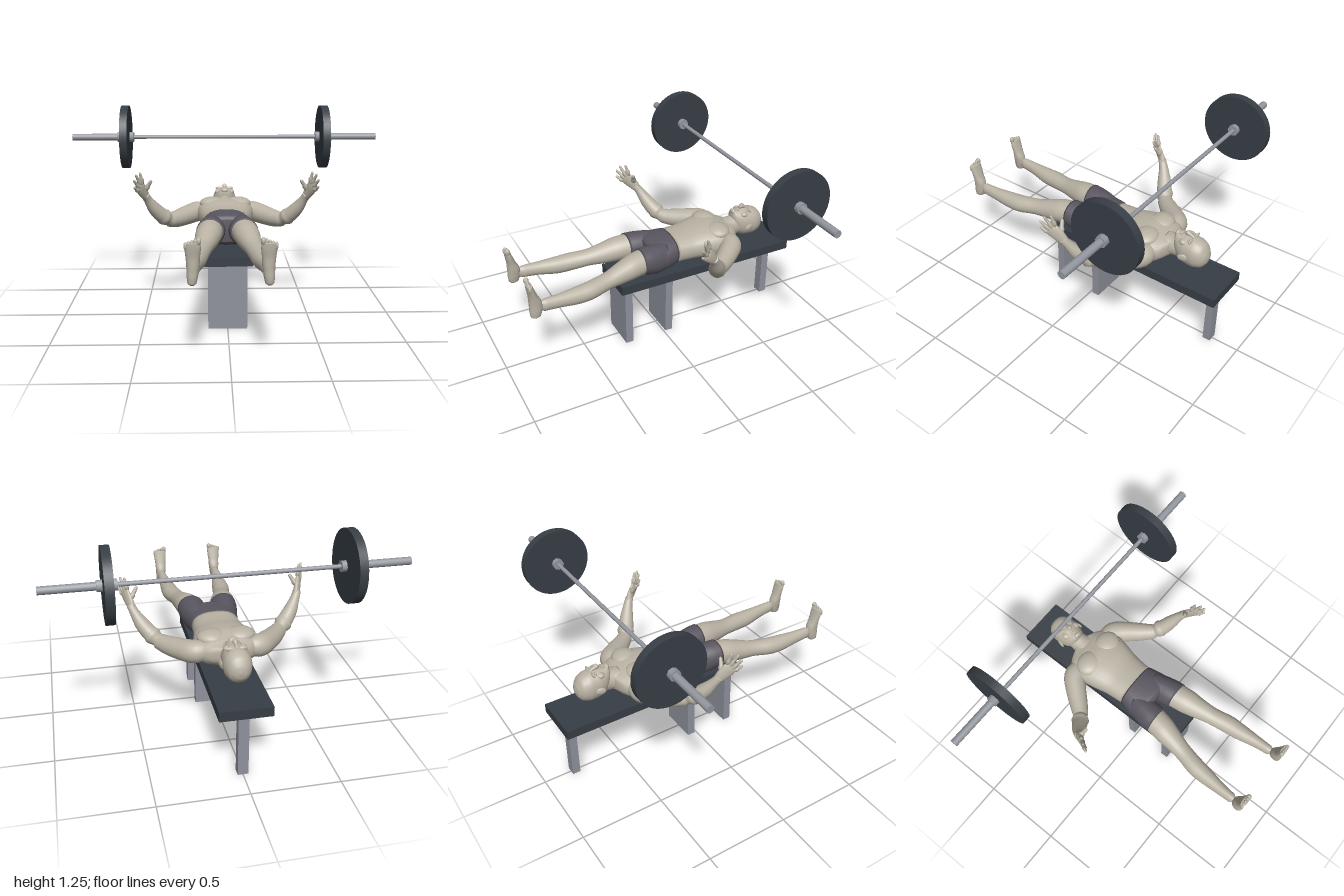
import * as THREE from 'three';

const mat = (name, color, extra = {}) => Object.assign(new THREE.MeshStandardMaterial({ color, ...extra }), { name });
const V = (x, y, z) => new THREE.Vector3(x, y, z);

// Smooth closed skin through elliptical sections [x, y, z, radiusA, radiusB].
// axis fixes the section plane; otherwise sections follow the path.
function loft(sections, { ref = V(0, 1, 0), axis = null, n = 2, sides = 24, sub = 5 } = {}) {
  const path = new THREE.CatmullRomCurve3(sections.map(s => V(s[0], s[1], s[2])));
  const radii = new THREE.CatmullRomCurve3(sections.map(s => V(s[3], s[4], 0)));
  const rows = (sections.length - 1) * sub;
  const pos = [], idx = [];
  const bend = v => Math.sign(v) * Math.pow(Math.abs(v), 2 / n);
  for (let i = 0; i <= rows; i++) {
    const c = path.getPoint(i / rows), r = radii.getPoint(i / rows);
    const t = axis || path.getTangent(i / rows);
    const a = ref.clone().cross(t).normalize(), b = t.clone().cross(a).normalize();
    for (let j = 0; j < sides; j++) {
      const w = j / sides * Math.PI * 2;
      const p = c.clone().addScaledVector(a, r.x * bend(Math.cos(w))).addScaledVector(b, r.y * bend(Math.sin(w)));
      pos.push(p.x, p.y, p.z);
      if (i < rows) {
        const k = i * sides, m = (j + 1) % sides;
        idx.push(k + j, k + m, k + sides + j, k + m, k + sides + m, k + sides + j);
      }
    }
  }
  // end caps
  const first = sections[0], last = sections[sections.length - 1], c0 = pos.length / 3;
  pos.push(first[0], first[1], first[2], last[0], last[1], last[2]);
  for (let j = 0; j < sides; j++) {
    const m = (j + 1) % sides, k = rows * sides;
    idx.push(c0, m, j, c0 + 1, k + j, k + m);
  }
  const g = new THREE.BufferGeometry();
  g.setAttribute('position', new THREE.Float32BufferAttribute(pos, 3));
  g.setIndex(idx);
  g.computeVertexNormals();
  return g;
}

// Sections across z, given as [z, centreX, halfWidth, bottomY, topY]
const alongZ = (rows, n = 2) => loft(
  rows.map(([z, x, w, y0, y1]) => [x, (y0 + y1) / 2, z, w, (y1 - y0) / 2]), { axis: V(0, 0, 1), n });

// Sections up y, given as [y, centreX, halfWidth, backZ, frontZ]
const alongY = (rows, n = 2) => loft(
  rows.map(([y, x, w, z0, z1]) => [x, y, (z0 + z1) / 2, w, (z1 - z0) / 2]), { axis: V(0, 1, 0), ref: V(0, 0, 1), n });

export function createModel() {
  const root = new THREE.Group();
  root.name = 'benchPress';
  const skin = mat('skin', 0xbab3a5), shorts = mat('shortsCloth', 0x5a5660);
  const dark = mat('darkRubber', 0x373e45), legGrey = mat('legGrey', 0x8f929c), steel = mat('steel', 0x94979f);

  const add = (name, geo, material, x = 0, y = 0, z = 0) => {
    const m = new THREE.Mesh(geo, material);
    m.name = name;
    m.position.set(x, y, z);
    root.add(m);
    return m;
  };
  const blob = (name, x, y, z, rx, ry, rz) => {
    const m = add(name, new THREE.SphereGeometry(1, 20, 14), skin, x, y, z);
    m.scale.set(rx, ry, rz);
    return m;
  };
  const box = (name, w, h, d, material, y, z) => add(name, new THREE.BoxGeometry(w, h, d), material, 0, y, z);
  const rod = (name, r, x0, x1, material, sides, y = 1.045, z = -0.52) => {
    const g = new THREE.CylinderGeometry(r, r, Math.abs(x1 - x0), sides).rotateZ(Math.PI / 2);
    return add(name, g, material, (x0 + x1) / 2, y, z);
  };

  // Bench
  box('benchPad', 0.294, 0.056, 1.18, dark, 0.417, -0.295);
  box('frontBoardLeg', 0.23, 0.39, 0.048, legGrey, 0.195, 0.238);
  box('middleBoardLeg', 0.23, 0.39, 0.048, legGrey, 0.195, -0.037);
  box('headPostLeg', 0.06, 0.39, 0.048, legGrey, 0.195, -0.807);

  // Barbell
  rod('bar', 0.012, -0.62, 0.62, steel, 16);
  for (const s of [1, -1]) {
    rod('weightPlate', 0.205, s * 0.626, s * 0.674, dark, 48);
    rod('innerCollar', 0.033, s * 0.598, s * 0.63, steel, 8);
    rod('outerCollar', 0.033, s * 0.67, s * 0.705, steel, 8);
    rod('sleeve', 0.022, s * 0.7, s, steel, 16);
  }

  // Torso, neck and head
  add('torso', alongZ([
    [-0.525, 0, 0.06, 0.52, 0.625], [-0.5, 0, 0.125, 0.505, 0.625], [-0.46, 0, 0.172, 0.48, 0.64],
    [-0.38, 0, 0.185, 0.463, 0.66], [-0.3, 0, 0.172, 0.463, 0.655], [-0.2, 0, 0.149, 0.468, 0.64],
    [-0.085, 0, 0.138, 0.468, 0.64]], 2.4), skin);
  add('neck', alongZ([[-0.62, 0, 0.055, 0.52, 0.63], [-0.56, 0, 0.056, 0.515, 0.645],
    [-0.52, 0, 0.062, 0.512, 0.64], [-0.47, 0, 0.09, 0.5, 0.635]]), skin);
  add('head', alongZ([
    [-0.753, 0, 0.006, 0.575, 0.59], [-0.745, 0, 0.036, 0.545, 0.62], [-0.72, 0, 0.064, 0.513, 0.66],
    [-0.67, 0, 0.079, 0.498, 0.682], [-0.62, 0, 0.077, 0.502, 0.687], [-0.58, 0, 0.066, 0.52, 0.686],
    [-0.548, 0, 0.046, 0.56, 0.688], [-0.535, 0, 0.02, 0.61, 0.672]], 2.15), skin);
  add('nose', loft([[0, 0.68, -0.655, 0.008, 0.008], [0, 0.69, -0.63, 0.01, 0.012],
    [0, 0.7, -0.607, 0.015, 0.015], [0, 0.693, -0.594, 0.008, 0.006]], { axis: V(0, 0, 1) }), skin);
  blob('upperLip', 0, 0.686, -0.577, 0.025, 0.008, 0.006);
  blob('lowerLip', 0, 0.685, -0.567, 0.021, 0.008, 0.006);
  blob('chin', 0, 0.678, -0.547, 0.024, 0.016, 0.014);

  // Shorts over the hips
  add('shortsHips', alongZ([
    [-0.09, 0, 0.141, 0.466, 0.645], [-0.04, 0, 0.153, 0.455, 0.644], [0.01, 0, 0.162, 0.449, 0.641],
    [0.05, 0, 0.155, 0.455, 0.637], [0.075, 0, 0.12, 0.48, 0.615]], 2.4), shorts);

  for (const s of [1, -1]) {
    // Chest and face relief
    blob('chestMuscle', s * 0.082, 0.625, -0.385, 0.085, 0.042, 0.075);
    blob('brow', s * 0.034, 0.676, -0.648, 0.026, 0.012, 0.008);
    blob('eye', s * 0.032, 0.675, -0.632, 0.014, 0.01, 0.007);
    blob('cheek', s * 0.042, 0.66, -0.605, 0.024, 0.018, 0.024);
    const ear = blob('ear', s * 0.08, 0.58, -0.628, 0.009, 0.022, 0.032);
    ear.rotation.y = s * 0.25;

    // Leg with shorts sleeve
    add('shortsLeg', alongZ([[-0.03, s * 0.08, 0.07, 0.47, 0.63], [0.05, s * 0.09, 0.082, 0.455, 0.64],
      [0.1, s * 0.096, 0.085, 0.468, 0.642], [0.152, s * 0.101, 0.083, 0.485, 0.642]]), shorts);
    add('leg', alongZ([
      [0.13, s * 0.1, 0.078, 0.486, 0.637], [0.22, s * 0.113, 0.076, 0.48, 0.626], [0.3, s * 0.126, 0.065, 0.475, 0.602],
      [0.4, s * 0.146, 0.054, 0.473, 0.573], [0.5, s * 0.167, 0.056, 0.459, 0.565], [0.58, s * 0.174, 0.051, 0.456, 0.56],
      [0.7, s * 0.184, 0.036, 0.473, 0.555], [0.79, s * 0.188, 0.029, 0.48, 0.555], [0.85, s * 0.19, 0.029, 0.48, 0.555]]), skin);

    // Foot and toes
    add('foot', alongY([
      [0.455, s * 0.195, 0.01, 0.835, 0.862], [0.466, s * 0.195, 0.023, 0.817, 0.874], [0.5, s * 0.193, 0.029, 0.805, 0.878],
      [0.55, s * 0.19, 0.033, 0.803, 0.877], [0.6, s * 0.19, 0.036, 0.825, 0.877], [0.65, s * 0.19, 0.041, 0.843, 0.883],
      [0.68, s * 0.191, 0.04, 0.853, 0.885]], 2.2), skin);
    for (let i = 0; i < 5; i++) {
      const r = i ? 0.009 : 0.013;
      blob('toe', s * (0.16 + i * 0.0165), 0.688 - i * 0.006, 0.871, r, 0.02, r + 0.002);
    }

    // Arm
    const path = rows => rows.map(([x, y, z, a, b = a]) => [s * x, y, z, a, b]);
    add('arm', loft(path([
      [0.11, 0.57, -0.43, 0.05], [0.185, 0.562, -0.422, 0.066], [0.25, 0.552, -0.36, 0.062], [0.31, 0.545, -0.288, 0.055],
      [0.355, 0.55, -0.235, 0.047], [0.4, 0.583, -0.197, 0.047], [0.445, 0.635, -0.163, 0.041],
      [0.483, 0.7, -0.128, 0.027], [0.5, 0.735, -0.106, 0.024]])), skin);

    // Hand: palm broad along the spread direction, four fingers and a thumb
    const spread = V(s * -0.38, 0.75, -0.54).normalize();
    add('palm', loft(path([[0.488, 0.71, -0.122, 0.02, 0.024], [0.506, 0.752, -0.09, 0.018, 0.036],
      [0.52, 0.785, -0.06, 0.015, 0.04], [0.527, 0.805, -0.042, 0.009, 0.034]]), { ref: spread }), skin);
    const tips = [[0.556, 0.803, 0.003], [0.558, 0.845, 0], [0.546, 0.876, -0.018], [0.524, 0.884, -0.05]];
    const finger = (name, from, to, r) => {
      const rows = [[0, r], [0.5, r], [0.9, r * 0.8], [1, r * 0.25]].map(([t, q]) => {
        const p = V(...from).lerp(V(...to), t);
        return [p.x, p.y, p.z, q];
      });
      add(name, loft(path(rows), { ref: spread, sides: 12, sub: 3 }), skin);
    };
    tips.forEach((tip, i) => {
      const k = (i - 1.5) * 0.019;
      finger('finger', [0.521 - 0.38 * k, 0.79 + 0.75 * k, -0.054 - 0.54 * k], tip, 0.0095);
    });
    finger('thumb', [0.5, 0.762, -0.097], [0.455, 0.832, -0.074], 0.012);
  }
  return root;
}
